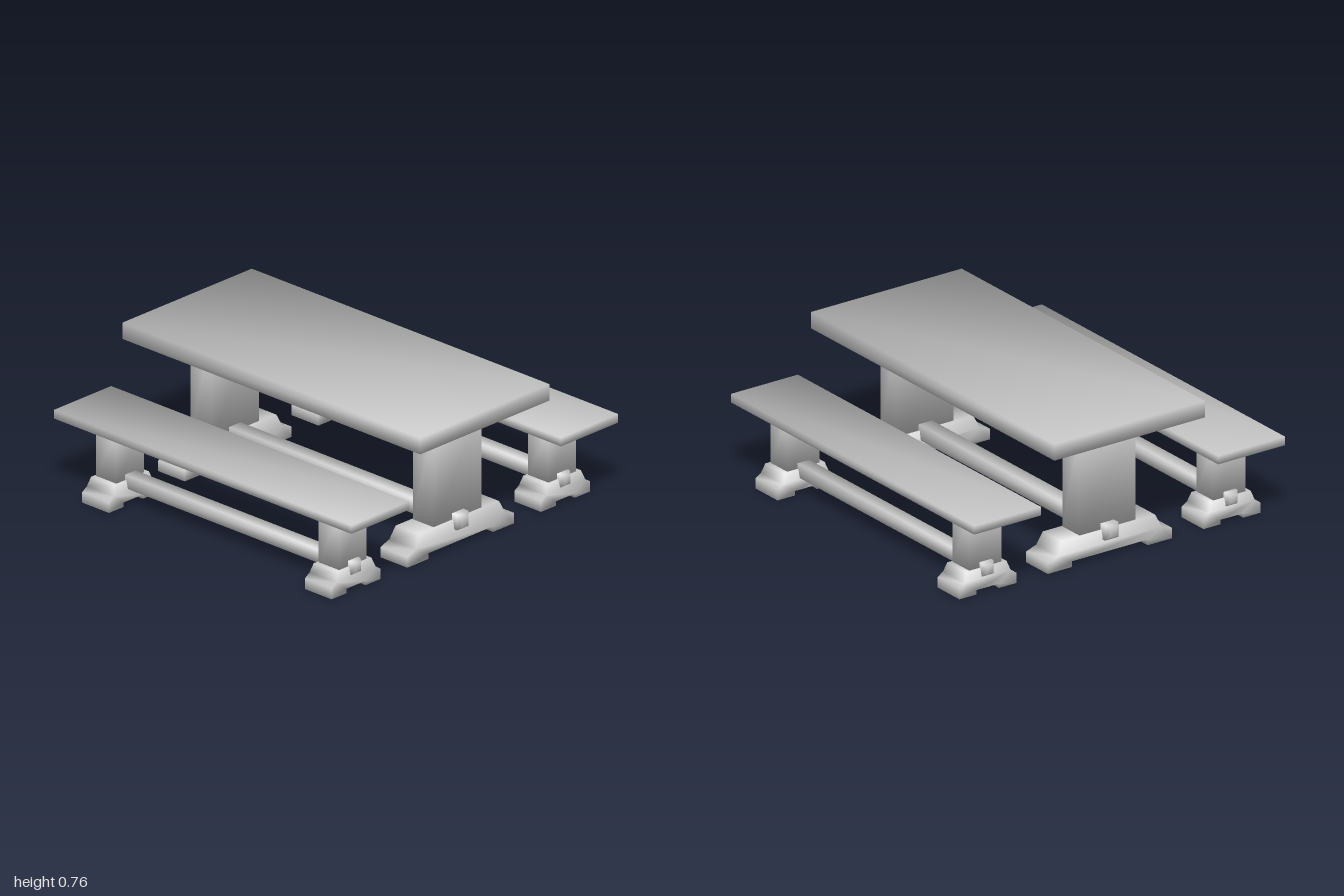
import * as THREE from 'three';
import { toCreasedNormals } from 'three/addons/utils/BufferGeometryUtils.js';

const material = new THREE.MeshStandardMaterial({ color: 0xcccccc });
const LEG_X = 0.748;

// Soft shading that runs across all edges of a part
function addPart(parent, name, geometry, x = 0, y = 0) {
  const mesh = new THREE.Mesh(toCreasedNormals(geometry, Math.PI), material);
  mesh.name = name;
  mesh.position.set(x, y, 0);
  parent.add(mesh);
}

// Sledge foot: stepped profile along z with a notch below, slightly narrower on top
function footGeometry({ half, shoulder, topHalf, top, notch, notchTop }) {
  const side = [
    [notch, notchTop], [notch, 0], [half, 0], [half, 0.055],
    [shoulder, 0.077], [topHalf, top],
  ];
  const mirrored = side.map(([z, y]) => [-z, y]).reverse();
  const shape = new THREE.Shape([...side, ...mirrored].map(([z, y]) => new THREE.Vector2(z, y)));
  const geometry = new THREE.ExtrudeGeometry(shape, { depth: 0.18, bevelEnabled: false });
  geometry.translate(0, 0, -0.09).rotateY(-Math.PI / 2);
  const p = geometry.attributes.position;
  for (let i = 0; i < p.count; i++) {
    if (p.getY(i) > top - 0.001) p.setX(i, p.getX(i) * 0.86);
  }
  return geometry;
}

// Square stretcher whose ends poke through the legs and are chamfered
function stretcherGeometry(end, size) {
  const geometry = new THREE.BoxGeometry(2 * end, size, size, 3, 1, 1);
  const p = geometry.attributes.position;
  for (let i = 0; i < p.count; i++) {
    const x = p.getX(i);
    if (Math.abs(x) > end - 0.001) {
      p.setY(i, p.getY(i) * 0.55);
      p.setZ(i, p.getZ(i) * 0.55);
    } else {
      p.setX(i, Math.sign(x) * (end - 0.018));
    }
  }
  return geometry;
}

// A trestle: plank, two legs on feet, and a stretcher between them
function trestle(name, s) {
  const group = new THREE.Group();
  group.name = name;
  const thick = s.plankTop - s.plankBottom;
  addPart(group, 'plank', new THREE.BoxGeometry(2, thick, 2 * s.plankHalf), 0, s.plankBottom + thick / 2);
  const legHeight = s.plankBottom - s.foot.top;
  for (const x of [-LEG_X, LEG_X]) {
    addPart(group, 'leg', new THREE.BoxGeometry(0.138, legHeight, 2 * s.legHalf), x, s.foot.top + legHeight / 2);
    addPart(group, 'foot', footGeometry(s.foot), x);
  }
  addPart(group, 'stretcher', stretcherGeometry(s.beamEnd, s.beamSize), 0, s.beamY);
  return group;
}

export function createModel() {
  const model = new THREE.Group();
  model.name = 'tableWithBenches';

  model.add(trestle('table', {
    plankBottom: 0.673, plankTop: 0.76, plankHalf: 0.45, legHalf: 0.167,
    beamEnd: 0.87, beamSize: 0.08, beamY: 0.136,
    foot: { half: 0.372, shoulder: 0.31, topHalf: 0.28, top: 0.143, notch: 0.226, notchTop: 0.03 },
  }));

  for (const side of [1, -1]) {
    const bench = trestle(side > 0 ? 'frontBench' : 'backBench', {
      plankBottom: 0.405, plankTop: 0.45, plankHalf: 0.2, legHalf: 0.096,
      beamEnd: 0.853, beamSize: 0.071, beamY: 0.119,
      foot: { half: 0.17, shoulder: 0.137, topHalf: 0.121, top: 0.125, notch: 0.067, notchTop: 0.023 },
    });
    bench.position.z = side * 0.73;
    model.add(bench);
  }
  return model;
}
